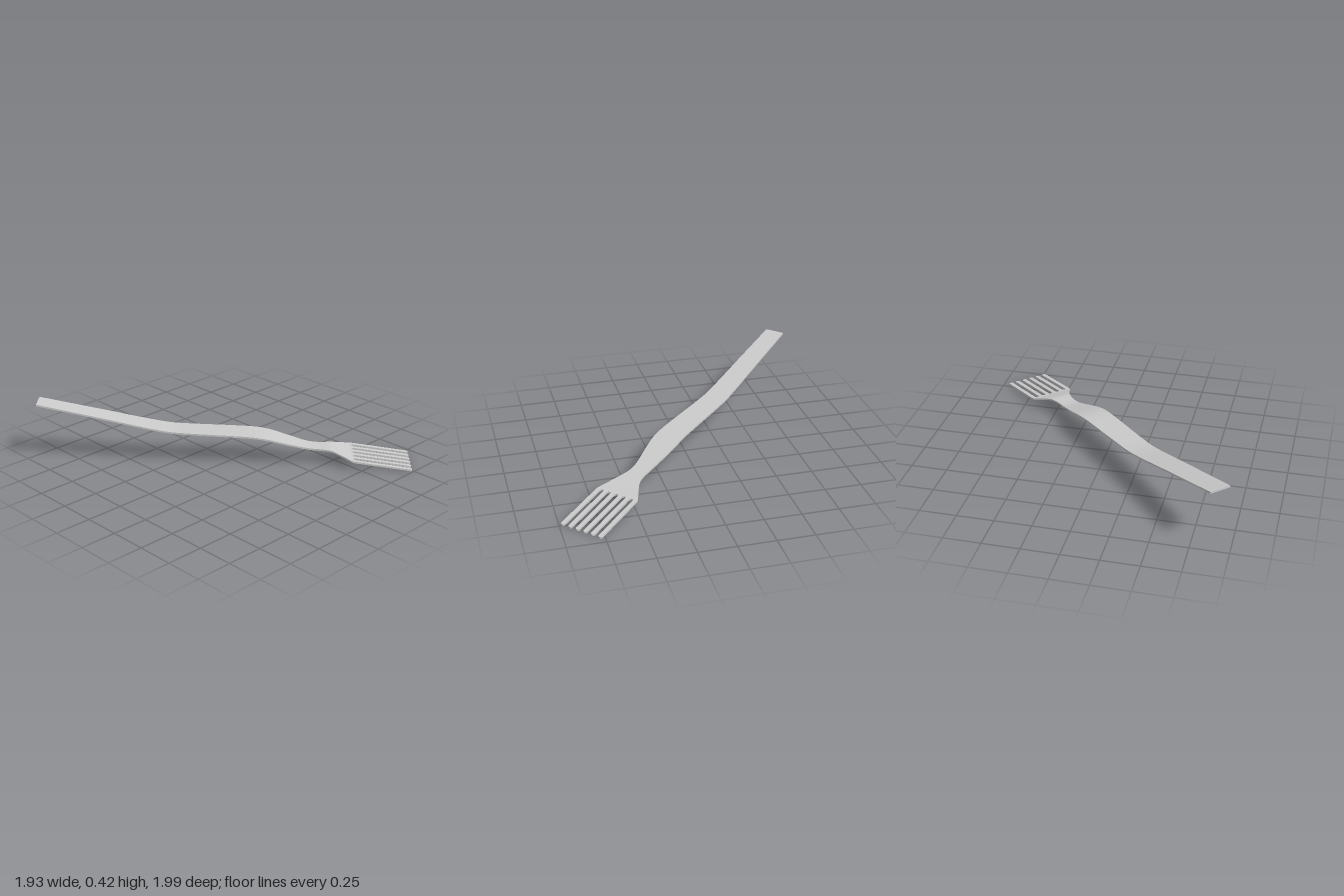
import * as THREE from 'three';

const T = 0.012; // sheet thickness
const ROOT = 0.815, ROOT_Y = 0.0645, SLOPE = -0.1415; // where the tines' flat part begins

// Stations along the handle: length, height of the middle, half width
const STATIONS = [
  [-1.323, 0.418, 0.071], [-0.9, 0.330, 0.077], [-0.54, 0.254, 0.083], [-0.42, 0.234, 0.085],
  [-0.31, 0.226, 0.087], [0, 0.213, 0.093], [0.13, 0.206, 0.095], [0.2, 0.198, 0.096],
  [0.265, 0.185, 0.094], [0.38, 0.153, 0.081], [0.49, 0.123, 0.065], [0.54, 0.113, 0.061],
  [0.6, 0.108, 0.061], [0.68, 0.103, 0.077], [0.74, 0.088, 0.107], [ROOT, ROOT_Y, 0.151],
];

// Thin strip swept along the stations, with sharp edges and smooth bends
function handleGeometry() {
  const curve = new THREE.CatmullRomCurve3(STATIONS.map((s) => new THREE.Vector3(...s)));
  const rows = curve.getPoints(90);
  const pos = [], index = [];
  const corners = [[1, 1], [-1, 1], [-1, -1], [1, -1]]; // side, up
  const put = (r, [s, h]) => pos.push(r.x, r.y + h * T / 2, s * r.z);
  for (let k = 0; k < 4; k++) {
    const base = pos.length / 3;
    rows.forEach((r) => { put(r, corners[k]); put(r, corners[(k + 1) % 4]); });
    for (let i = 0; i < rows.length - 1; i++) {
      const a = base + i * 2;
      index.push(a, a + 2, a + 1, a + 1, a + 2, a + 3);
    }
  }
  // Square end of the handle
  const b = pos.length / 3;
  corners.forEach((c) => put(rows[0], c));
  index.push(b, b + 1, b + 2, b, b + 2, b + 3);
  const g = new THREE.BufferGeometry();
  g.setAttribute('position', new THREE.Float32BufferAttribute(pos, 3));
  g.setIndex(index);
  g.computeVertexNormals();
  return g;
}

// Shoulder with six round-tipped tines, sloping down to the ground
function tinesGeometry() {
  const n = 6, pitch = 0.0564, w = 0.0145, gap = pitch / 2 - w;
  const s = new THREE.Shape();
  s.moveTo(ROOT, -0.151);
  s.quadraticCurveTo(0.828, -0.1555, 0.85, -0.1555);
  for (let i = 0; i < n; i++) {
    const c = (i - (n - 1) / 2) * pitch;
    s.absarc(1.214, c, w, -Math.PI / 2, Math.PI / 2, false);
    if (i < n - 1) s.absarc(0.842, c + pitch / 2, gap, -Math.PI / 2, Math.PI / 2, true);
  }
  s.lineTo(0.85, 0.1555);
  s.quadraticCurveTo(0.828, 0.1555, ROOT, 0.151);
  const g = new THREE.ExtrudeGeometry(s, { depth: T, bevelEnabled: false, curveSegments: 8 });
  g.rotateX(-Math.PI / 2);
  const p = g.attributes.position;
  for (let i = 0; i < p.count; i++) {
    p.setY(i, p.getY(i) - T / 2 + ROOT_Y + SLOPE * (p.getX(i) - ROOT));
  }
  g.computeVertexNormals();
  return g;
}

export function createModel() {
  const group = new THREE.Group();
  group.name = 'fork';
  const material = new THREE.MeshStandardMaterial({ color: 0xcccccc });
  const add = (name, geometry) => {
    const mesh = new THREE.Mesh(geometry, material);
    mesh.name = name;
    group.add(mesh);
  };
  add('handle', handleGeometry());
  add('tines', tinesGeometry());
  // The fork lies diagonally
  group.rotation.y = -THREE.MathUtils.degToRad(46.1);
  return group;
}
